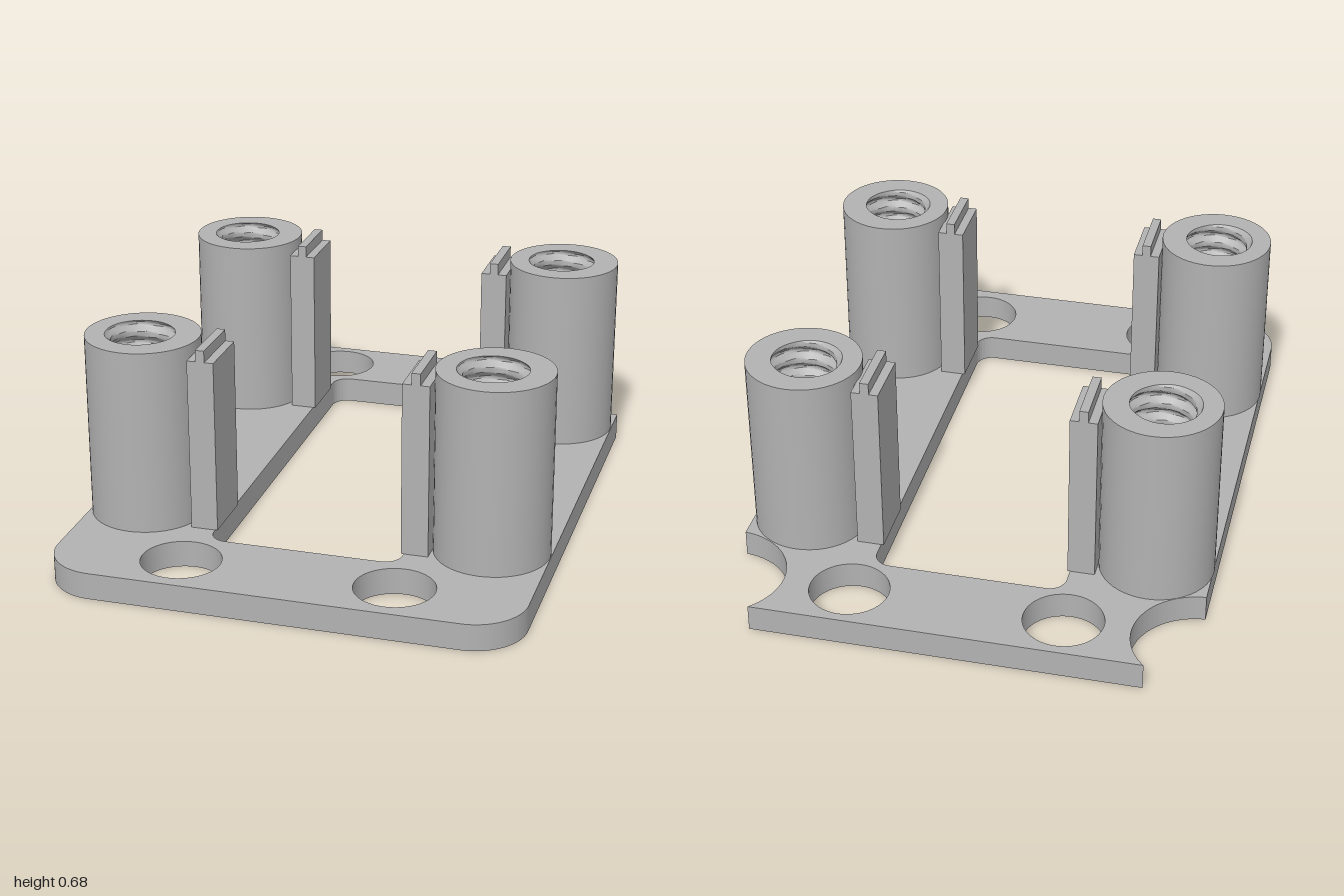
import * as THREE from 'three';
import { toCreasedNormals } from 'three/addons/utils/BufferGeometryUtils.js';
import { ParametricGeometry } from 'three/addons/geometries/ParametricGeometry.js';

const PLATE_TOP = 0.085, POST_TOP = 0.677, POST_R = 0.18;
const BORE_R = 0.1, GROOVE = 0.018, PITCH = 0.06;

// Plate outline with rounded front corners and scooped back corners (shape y = -z)
function plateGeometry() {
  const w = 0.735, r = 0.165, nx = 0.75, ny = 0.85, nr = 0.208;
  const low = Math.acos((nx - w) / nr);            // scoop meets the side
  const high = Math.asin((1 - ny) / nr);           // scoop meets the back
  const s = new THREE.Shape();
  s.moveTo(-w + r, -1);
  s.lineTo(w - r, -1);
  s.absarc(w - r, -1 + r, r, -Math.PI / 2, 0, false);
  s.absarc(nx, ny, nr, Math.PI + low, Math.PI - high, true);
  s.absarc(-nx, ny, nr, high, -low, true);
  s.absarc(-w + r, -1 + r, r, Math.PI, Math.PI * 1.5, false);

  // Central window
  const x0 = -0.304, x1 = 0.3, y0 = -0.682, y1 = 0.708, c = 0.055;
  const win = new THREE.Path();
  win.absarc(x1 - c, y0 + c, c, -Math.PI / 2, 0, false);
  win.absarc(x1 - c, y1 - c, c, 0, Math.PI / 2, false);
  win.absarc(x0 + c, y1 - c, c, Math.PI / 2, Math.PI, false);
  win.absarc(x0 + c, y0 + c, c, Math.PI, Math.PI * 1.5, false);
  win.closePath();
  s.holes.push(win);

  // Four mounting holes
  for (const x of [-0.335, 0.332]) for (const y of [-0.835, 0.846]) {
    const hole = new THREE.Path();
    hole.absarc(x, y, 0.124, 0, Math.PI * 2, false);
    s.holes.push(hole);
  }
  const g = new THREE.ExtrudeGeometry(s, { depth: PLATE_TOP, bevelEnabled: false, curveSegments: 28 });
  g.rotateX(-Math.PI / 2);
  return toCreasedNormals(g, 0.6);
}

// Radius of the threaded bore: a helical groove cut into a cylinder
function boreRadius(theta, y) {
  const t = (y - POST_TOP) / PITCH + theta / (Math.PI * 2);
  const f = t - Math.floor(t);
  return BORE_R + GROOVE * Math.min(1, Math.max(0, 1.3 - Math.abs(f - 0.5) / 0.27));
}

const boreGeometry = () => toCreasedNormals(new ParametricGeometry((u, v, p) => {
  const a = u * Math.PI * 2, y = PLATE_TOP + v * (POST_TOP - PLATE_TOP);
  const r = boreRadius(a, y);
  p.set(r * Math.cos(a), y, r * Math.sin(a));
}, 48, 90), 0.5);

const rimGeometry = () => new ParametricGeometry((u, v, p) => {
  const a = u * Math.PI * 2;
  const r = THREE.MathUtils.lerp(boreRadius(a, POST_TOP), POST_R, v);
  p.set(r * Math.cos(a), POST_TOP, r * Math.sin(a));
}, 48, 1);

export function createModel() {
  const grey = new THREE.MeshStandardMaterial({ color: 0xb2b2b2 });
  grey.name = 'grey';
  const model = new THREE.Group();
  model.name = 'mountingFrame';

  const add = (parent, name, geometry, x = 0, y = 0, z = 0) => {
    const m = new THREE.Mesh(geometry, grey);
    m.name = name;
    m.position.set(x, y, z);
    parent.add(m);
  };

  add(model, 'basePlate', plateGeometry());

  const h = POST_TOP - PLATE_TOP;
  const wall = new THREE.CylinderGeometry(POST_R, POST_R, h, 48, 1, true);
  const bore = boreGeometry(), rim = rimGeometry();
  const floor = new THREE.CircleGeometry(BORE_R + GROOVE, 48).rotateX(-Math.PI / 2);
  const tabH = 0.64 - PLATE_TOP;
  const tab = new THREE.BoxGeometry(0.085, tabH, 0.195);
  const ridge = new THREE.BoxGeometry(0.028, POST_TOP - 0.64, 0.195);

  // Threaded posts, each with a ridged tab facing the window
  for (const side of [-1, 1]) for (const z of [-0.511, 0.517]) {
    const post = new THREE.Group();
    post.name = (z > 0 ? 'front' : 'back') + (side > 0 ? 'Left' : 'Right') + 'Post';
    post.position.set(side > 0 ? 0.553 : -0.558, 0, z);
    add(post, 'postWall', wall, 0, PLATE_TOP + h / 2, 0);
    add(post, 'postRim', rim);
    add(post, 'threadedBore', bore);
    add(post, 'boreFloor', floor, 0, PLATE_TOP + 0.001, 0);
    const tx = -side * 0.219;
    add(post, 'tab', tab, tx, PLATE_TOP + tabH / 2, 0);
    add(post, 'tabRidge', ridge, tx, (0.64 + POST_TOP) / 2, 0);
    model.add(post);
  }
  return model;
}
